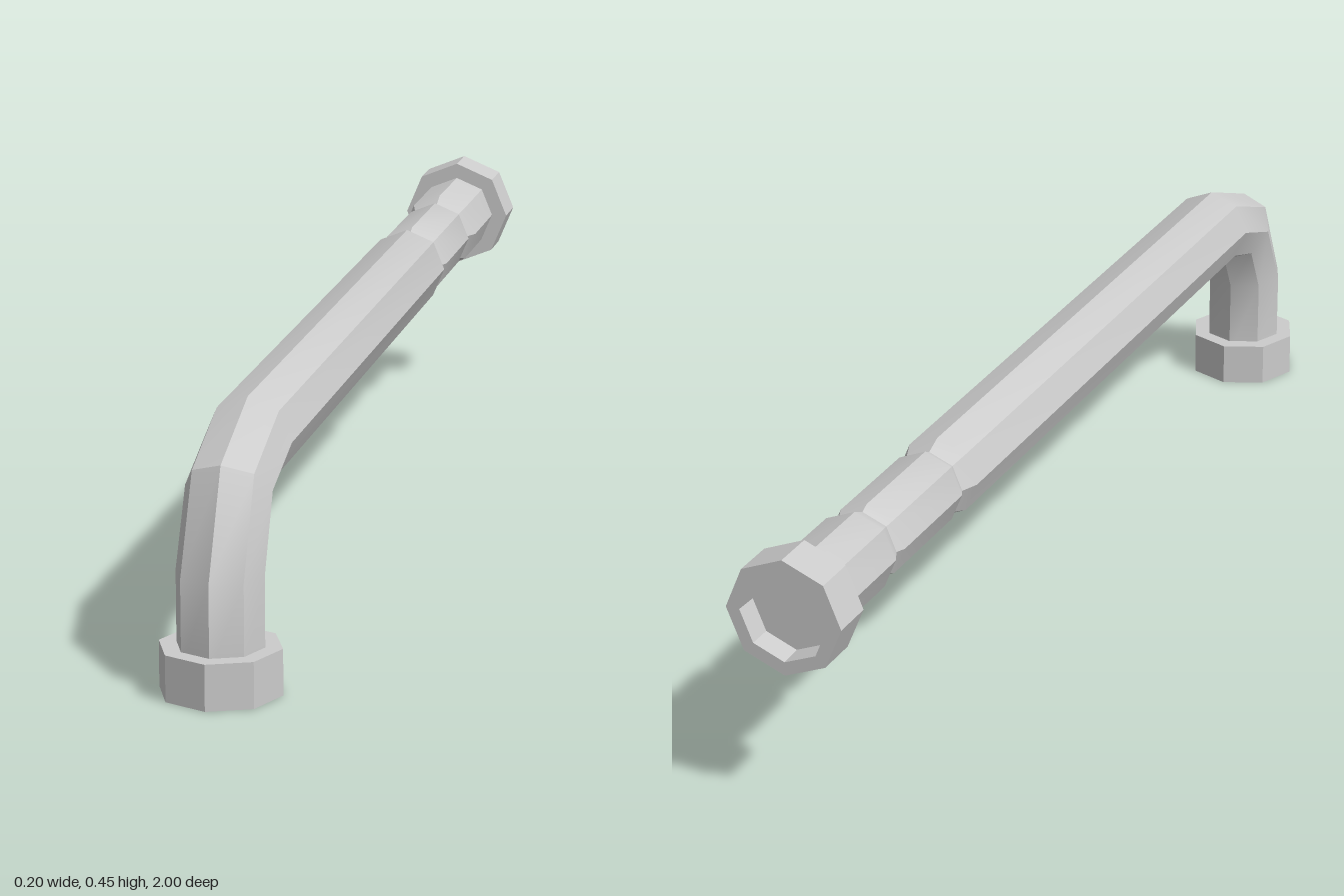
import * as THREE from 'three';
import { toCreasedNormals } from 'three/addons/utils/BufferGeometryUtils.js';

const SIDES = 8;

// Octagonal tube through rings [y, z, radius, tilt]; tilt 0 = ring lies flat, 90 = ring stands upright
function tube(rings) {
  const pos = [], index = [];
  rings.forEach(([y, z, r, tilt], i) => {
    const t = THREE.MathUtils.degToRad(tilt);
    for (let k = 0; k < SIDES; k++) {
      const a = (k / SIDES) * Math.PI * 2;
      const n = r * Math.sin(a);
      pos.push(r * Math.cos(a), y + n * Math.sin(t), z + n * Math.cos(t));
      if (i === 0) continue;
      const p = (i - 1) * SIDES, k2 = (k + 1) % SIDES;
      index.push(p + k, p + SIDES + k, p + k2);
      index.push(p + k2, p + SIDES + k, p + SIDES + k2);
    }
  });
  const geo = new THREE.BufferGeometry();
  geo.setAttribute('position', new THREE.Float32BufferAttribute(pos, 3));
  geo.setIndex(index);
  return toCreasedNormals(geo, Math.PI / 5);
}

export function createModel() {
  const group = new THREE.Group();
  const add = (name, geo, flatShading) => {
    const mesh = new THREE.Mesh(geo, new THREE.MeshStandardMaterial({ color: 0xcccccc, flatShading }));
    mesh.name = name;
    group.add(mesh);
    return mesh;
  };

  // Bent pipe: upright leg, elbow, long run, then a narrower joint between two grooves
  const H = 0.35;
  add('pipe', tube([
    [0.05, 0.902, 0.07, 0],
    [0.19, 0.902, 0.07, 0],
    [0.308, 0.845, 0.069, 45],
    [H, 0.725, 0.07, 90],
    [H, -0.46, 0.07, 90],
    [H, -0.49, 0.058, 90],
    [H, -0.505, 0.065, 90],
    [H, -0.715, 0.065, 90],
    [H, -0.73, 0.058, 90],
    [H, -0.757, 0.07, 90],
    [H, -0.95, 0.07, 90],
  ]), false);

  // Collars with a recessed, closed opening
  const collar = new THREE.LatheGeometry([
    [0, 0.04], [0.073, 0.04], [0.075, 0], [0.098, 0], [0.098, 0.075], [0.06, 0.075],
  ].map(([r, y]) => new THREE.Vector2(r, y)), SIDES);

  add('footCollar', collar, true).position.set(0, 0, 0.902);
  const end = add('endCollar', collar, true);
  end.rotation.x = Math.PI / 2;
  end.position.set(0, H, -1);

  return group;
}
